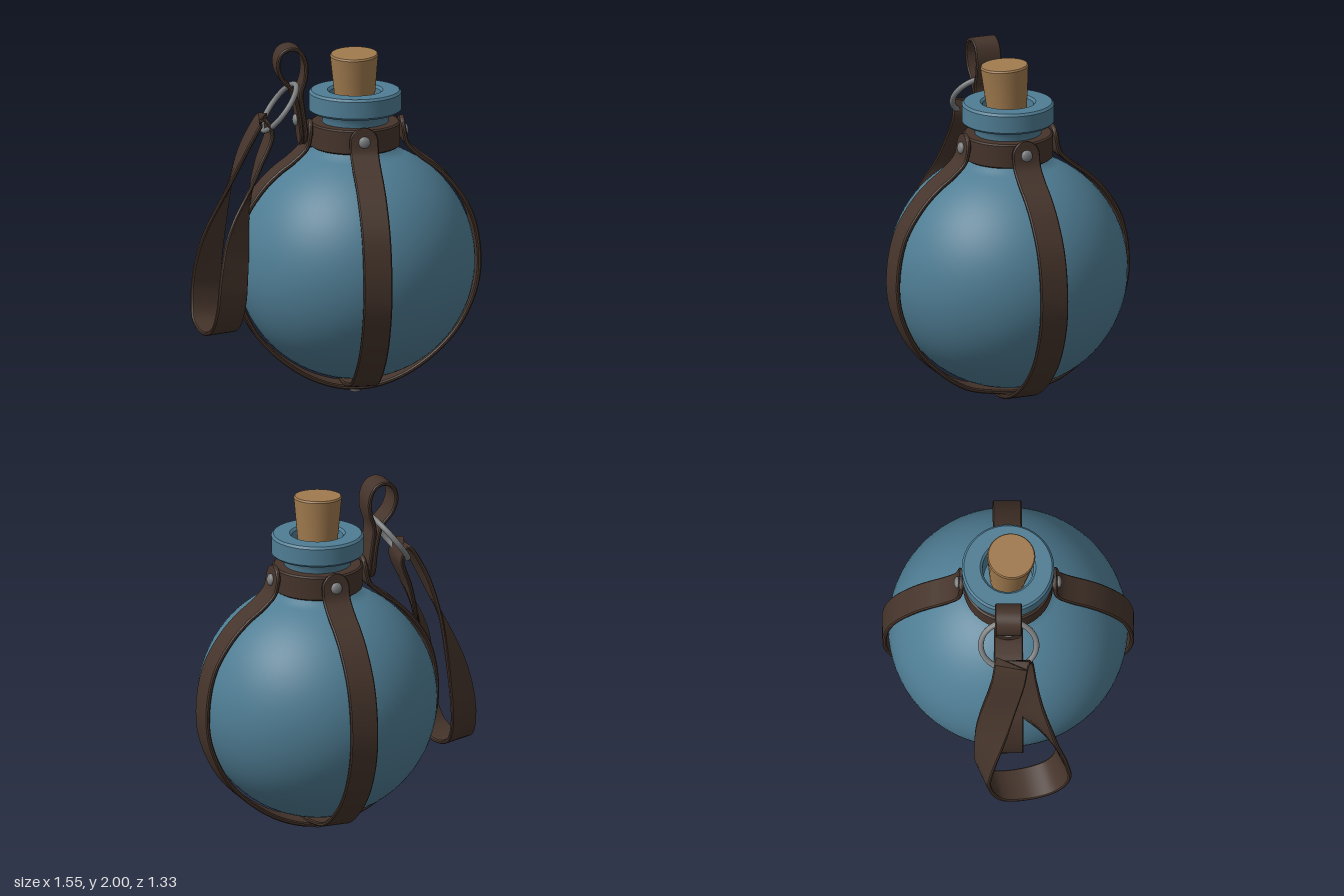
import * as THREE from 'three';
import { toCreasedNormals } from 'three/addons/utils/BufferGeometryUtils.js';

const CX = 0.105; // bottle axis
const TURN = 0.61; // azimuth of the first strap, measured from +x towards +z
const V = (x, y, z) => new THREE.Vector3(x, y, z);
const V2 = (list) => list.map(([x, y]) => new THREE.Vector2(x, y));

function material(name, color) {
  const m = new THREE.MeshStandardMaterial({ color });
  m.name = name;
  return m;
}

// Leather band swept along a curve; open bands get rounded tips.
function band(curve, widthDir, width, thick, steps) {
  const pos = [], index = [];
  const length = curve.getLength(), half = width / 2, q = thick / 2, c = thick * 0.28;
  for (let i = 0; i <= steps; i++) {
    const u = curve.closed ? i / steps : 0.5 - 0.5 * Math.cos((Math.PI * i) / steps);
    const p = curve.getPointAt(u);
    const t = curve.getTangentAt(u);
    const w = widthDir(p).clone();
    w.addScaledVector(t, -w.dot(t)).normalize();
    const n = t.clone().cross(w);
    let h = half;
    const d = Math.min(u, 1 - u) * length;
    if (!curve.closed && d < half) h = Math.sqrt(Math.max(half * half - (half - d) ** 2, 1e-6));
    const e = Math.max(h - c, h * 0.5);
    const section = [[h, -q + c], [h, q - c], [e, q], [-e, q], [-h, q - c], [-h, -q + c], [-e, -q], [e, -q]];
    for (const [a, b] of section) {
      pos.push(p.x + w.x * a + n.x * b, p.y + w.y * a + n.y * b, p.z + w.z * a + n.z * b);
    }
  }
  for (let i = 0; i < steps; i++) {
    for (let j = 0; j < 8; j++) {
      const a = i * 8 + j, b = i * 8 + ((j + 1) % 8);
      index.push(a, b, a + 8, b, b + 8, a + 8);
    }
  }
  const g = new THREE.BufferGeometry();
  g.setAttribute('position', new THREE.Float32BufferAttribute(pos, 3));
  g.setIndex(index);
  return toCreasedNormals(g, 0.6);
}

// Place a (radius, height) point on the vertical plane at an azimuth.
const radial = (a, r, y) => V(CX + r * Math.cos(a), y, r * Math.sin(a));

export function createModel() {
  const group = new THREE.Group();
  const glass = material('blue glaze', 0x4f7d94);
  const leather = material('brown leather', 0x45342b);
  const cork = material('cork', 0xa07a4e);
  const metal = material('grey metal', 0x7c7e80);

  function add(name, geometry, mat) {
    const mesh = new THREE.Mesh(geometry, mat);
    mesh.name = name;
    group.add(mesh);
    return mesh;
  }

  // Round flask, neck and rim in one turned profile
  const profile = [];
  for (let i = 0; i <= 40; i++) {
    const a = -Math.PI / 2 + (i / 40) * 2.78;
    profile.push([Math.max(0, 0.667 * Math.cos(a)), 0.76 + 0.667 * Math.sin(a)]);
  }
  profile.push([0.2, 1.43], [0.185, 1.48], [0.185, 1.57], [0.2, 1.6], [0.245, 1.608], [0.257, 1.62],
    [0.257, 1.715], [0.245, 1.728], [0.155, 1.728], [0.142, 1.715], [0.135, 1.56], [0, 1.56]);
  add('flask', toCreasedNormals(new THREE.LatheGeometry(V2(profile), 72), 0.6), glass).position.x = CX;

  // Tapered stopper, slightly tilted
  const corkShape = V2([[0, -0.19], [0.1, -0.19], [0.134, 0.18], [0.128, 0.19], [0, 0.19]]);
  const stopper = add('stopper', toCreasedNormals(new THREE.LatheGeometry(corkShape, 40), 0.6), cork);
  stopper.position.set(0.096, 1.75, 0.004);
  stopper.rotation.set(0.03, 0, 0.05);

  // Leather collar round the neck
  const collarShape = V2([[0.18, 1.41], [0.24, 1.41], [0.25, 1.418], [0.25, 1.542], [0.24, 1.55], [0.18, 1.55], [0.18, 1.41]]);
  add('collar', toCreasedNormals(new THREE.LatheGeometry(collarShape, 56), 0.6), leather).position.x = CX;

  // Domed rivet facing a direction
  const rivetGeo = new THREE.SphereGeometry(0.033, 20, 12);
  rivetGeo.scale(1, 1, 0.55);
  function rivet(name, position, direction) {
    const r = add(name, rivetGeo, metal);
    r.position.copy(position);
    r.quaternion.setFromUnitVectors(V(0, 0, 1), direction.normalize());
  }

  // Two long straps crossing under the flask, four riveted tabs on the collar
  const side = [[0.258, 1.57], [0.266, 1.49], [0.285, 1.42], [0.36, 1.345], [0.44, 1.285], [0.535, 1.19], [0.64, 1.02],
    [0.686, 0.8], [0.672, 0.6], [0.58, 0.385], [0.45, 0.235], [0.28, 0.115], [0.12, 0.055]];
  for (let k = 0; k < 2; k++) {
    const a = TURN + (k * Math.PI) / 2;
    const lift = k * 0.02;
    const low = ([r, y]) => [r, y < 0.1 ? y + lift : y];
    const path = [
      ...side.map(low), [0, 0.042 + lift],
      ...side.slice().reverse().map(low).map(([r, y]) => [-r, y]),
    ].map(([r, y]) => radial(a, r, y));
    const across = V(-Math.sin(a), 0, Math.cos(a));
    add('strap', band(new THREE.CatmullRomCurve3(path), () => across, 0.162, 0.024, 180), leather);
    for (const b of [a, a + Math.PI]) {
      if (k === 0 && b !== a) continue; // the hanger is riveted here instead
      rivet('strapRivet', radial(b, 0.282, 1.49), V(Math.cos(b), 0.1, Math.sin(b)));
    }
  }
  rivet('bottomRivet', V(CX, 0.018, 0), V(0, -1, 0));

  // Hanger: doubled band that forms a teardrop eye above the collar
  const back = TURN + Math.PI;
  const out = V(Math.cos(back), 0, Math.sin(back));
  const across = V(-Math.sin(back), 0, Math.cos(back));
  const eye = [[0.285, 1.43], [0.29, 1.52], [0.308, 1.65], [0.316, 1.73], [0.292, 1.82], [0.29, 1.9], [0.32, 1.966],
    [0.37, 1.988], [0.425, 1.965], [0.447, 1.9], [0.425, 1.82], [0.36, 1.74], [0.333, 1.65], [0.316, 1.52], [0.31, 1.43]]
    .map(([r, y]) => radial(back, r, y));
  add('hangerEye', band(new THREE.CatmullRomCurve3(eye), () => across, 0.15, 0.022, 130), leather);
  rivet('hangerRivet', radial(back, 0.337, 1.57), out.clone());

  // Metal ring through the eye, leaning outwards
  const ring = add('ring', new THREE.TorusGeometry(0.155, 0.016, 12, 48), metal);
  const down = out.clone().multiplyScalar(0.6).add(V(0, -0.8, 0));
  ring.quaternion.setFromRotationMatrix(new THREE.Matrix4().makeBasis(across, down, across.clone().cross(down)));
  ring.position.copy(radial(back, 0.43, 1.645));

  // Carrying strap: closed loop hanging from the ring
  const loop = [
    V(-0.335, 1.59, -0.285), V(-0.32, 1.52, -0.25), V(-0.385, 1.35, -0.265), V(-0.46, 1.18, -0.27),
    V(-0.57, 0.98, -0.24), V(-0.655, 0.77, -0.195), V(-0.685, 0.58, -0.19), V(-0.66, 0.45, -0.26),
    V(-0.6, 0.405, -0.39), V(-0.53, 0.45, -0.53), V(-0.485, 0.6, -0.585), V(-0.465, 0.85, -0.56),
    V(-0.425, 1.2, -0.46), V(-0.38, 1.48, -0.345),
  ];
  const topDir = V(0.57, 0, -0.82), lowDir = V(0.97, 0, 0.2);
  const twist = (p) => lowDir.clone().lerp(topDir, THREE.MathUtils.smoothstep(p.y, 0.6, 1.5));
  add('carryingStrap', band(new THREE.CatmullRomCurve3(loop, true), twist, 0.19, 0.022, 160), leather);

  return group;
}
